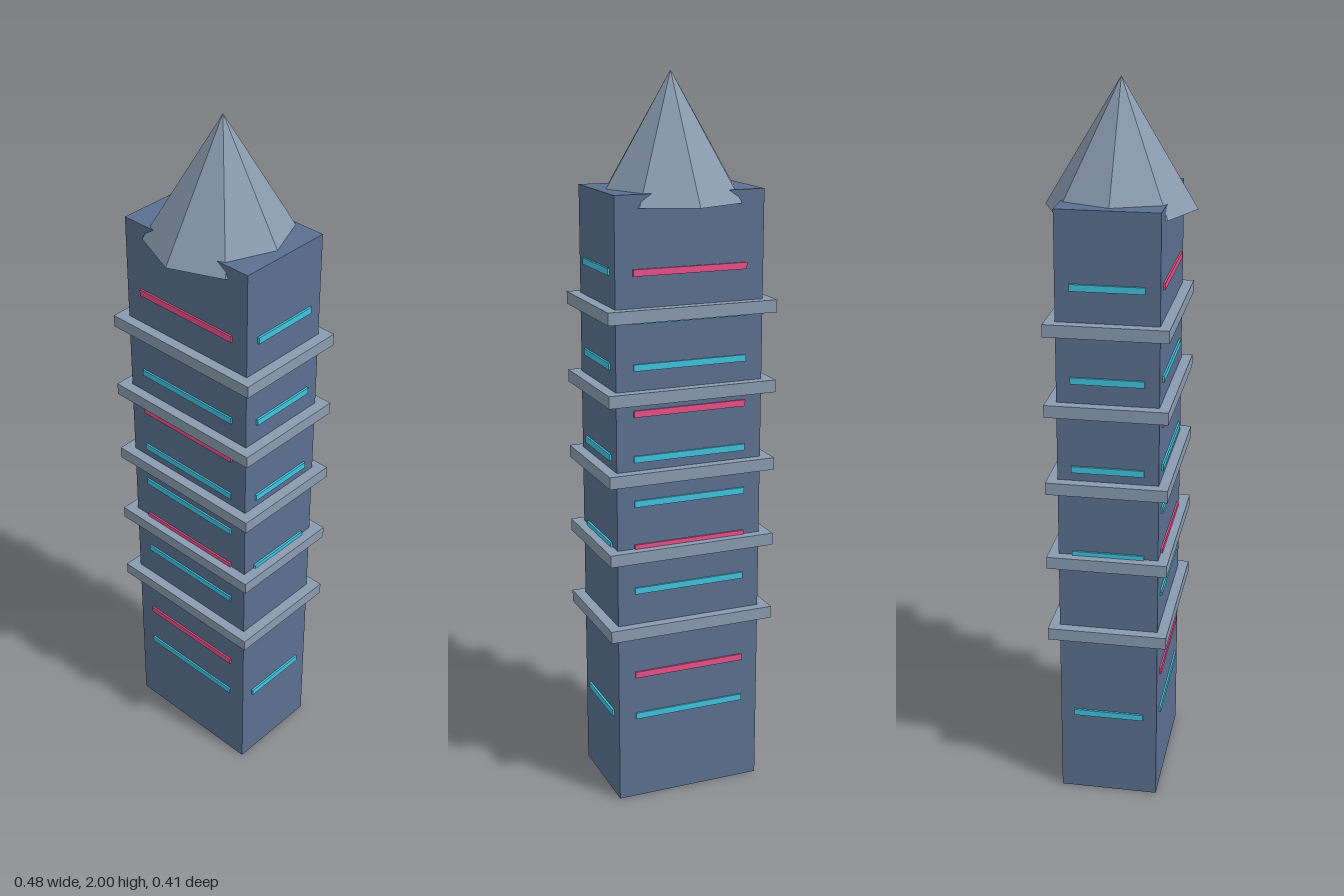
import * as THREE from 'three';

export function createModel() {
  const tower = new THREE.Group();
  tower.name = 'tower';

  const mat = (color) => new THREE.MeshStandardMaterial({ color });
  const wall = mat(0x5a7090);
  const trim = mat(0x8a9bb0);
  const cyan = mat(0x40c4e0);
  const pink = mat(0xe8508a);
  const roofMat = mat(0x8a9bb0);
  roofMat.flatShading = true;

  const W = 0.42, D = 0.274, H = 1.7;

  function add(name, geometry, material, x, y, z) {
    const mesh = new THREE.Mesh(geometry, material);
    mesh.name = name;
    mesh.position.set(x, y, z);
    tower.add(mesh);
  }

  // Main shaft
  add('shaft', new THREE.BoxGeometry(W, H, D), wall, 0, H / 2, 0);

  // Projecting ledges
  const ledge = new THREE.BoxGeometry(0.48, 0.034, 0.33);
  for (let i = 0; i < 5; i++) add('ledge', ledge, trim, 0, 0.51 + i * 0.22, 0);

  // Light strips: every level on front and back, every second level on the sides
  const wideStrip = new THREE.BoxGeometry(0.322, 0.018, 0.01);
  const sideStrip = new THREE.BoxGeometry(0.012, 0.018, 0.197);
  for (let i = 0; i < 11; i++) {
    const y = 0.25 + i * 0.125;
    for (const s of [1, -1]) {
      add(s > 0 ? 'frontLight' : 'backLight', wideStrip, i % 3 === 1 ? pink : cyan, 0, y, s * D / 2);
      if (i % 2 === 0) add(s > 0 ? 'leftLight' : 'rightLight', sideStrip, cyan, s * W / 2, y, 0);
    }
  }

  // Eight-sided pointed roof
  const roofHeight = 0.335;
  add('roof', new THREE.ConeGeometry(0.203, roofHeight, 8), roofMat, 0, 2 - roofHeight / 2, 0);

  return tower;
}
